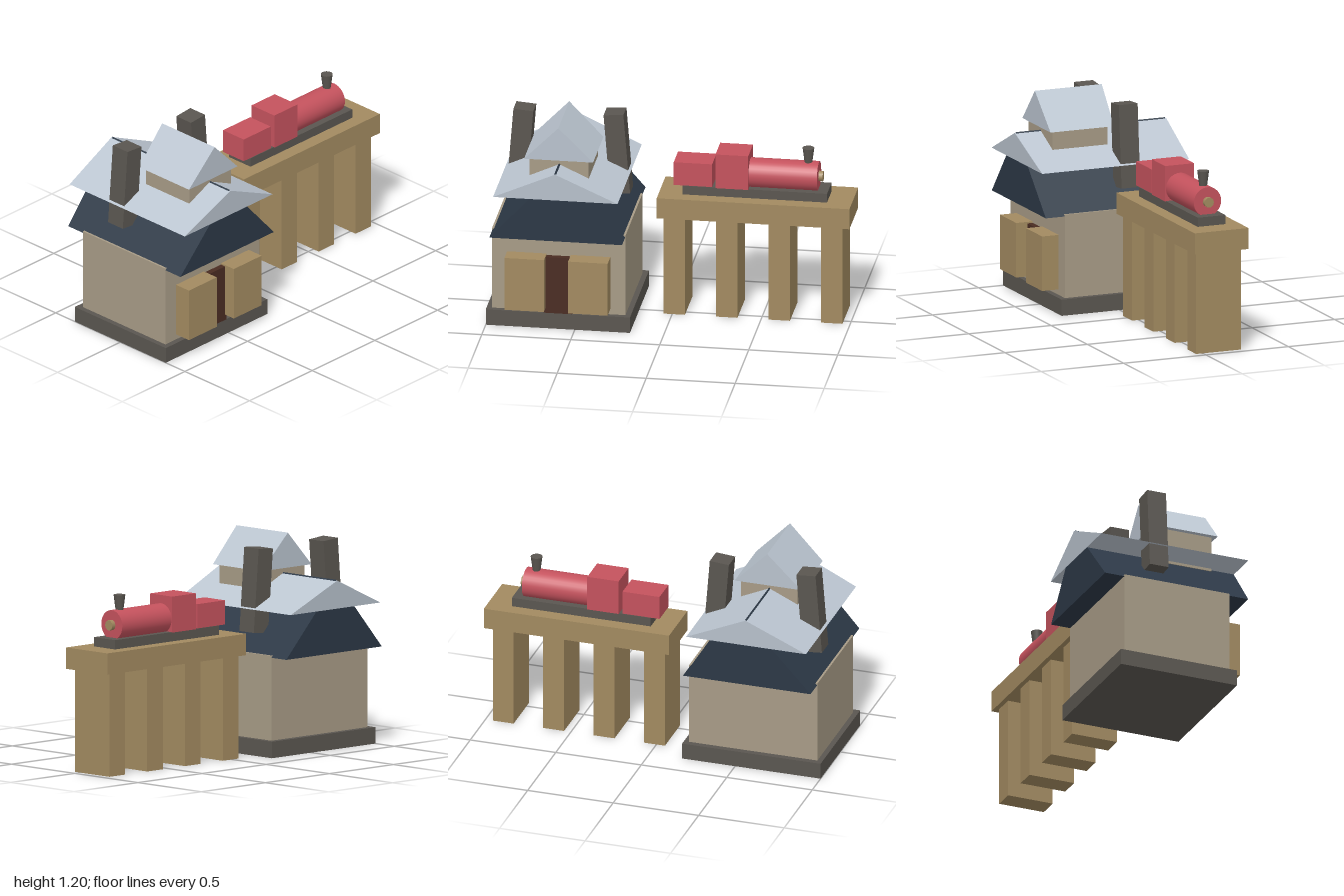
import * as THREE from 'three';

const paint = (name, color) => {
  const m = new THREE.MeshStandardMaterial({ color });
  m.name = name;
  return m;
};

// Gabled prism centred on x = 0, z = 0, whose ends lean outward from eave to ridge
function gable(halfWidth, y0, y1, halfEave, halfRidge) {
  const tri = new THREE.Shape([
    new THREE.Vector2(-halfWidth, y0),
    new THREE.Vector2(halfWidth, y0),
    new THREE.Vector2(0, y1),
  ]);
  const geo = new THREE.ExtrudeGeometry(tri, { depth: 1, bevelEnabled: false });
  const p = geo.attributes.position;
  for (let i = 0; i < p.count; i++) {
    const t = (p.getY(i) - y0) / (y1 - y0);
    const half = THREE.MathUtils.lerp(halfEave, halfRidge, t);
    p.setZ(i, p.getZ(i) > 0.5 ? half : -half);
  }
  geo.computeVertexNormals();
  return geo;
}

export function createModel() {
  const stone = paint('stone grey', 0x5a5650);
  const plaster = paint('plaster', 0xa79b86);
  const navy = paint('navy slate', 0x2d3947);
  const pale = paint('pale slate', 0xbcc6d1);
  const wood = paint('wood', 0xa28a60);
  const brown = paint('dark brown', 0x4a2c22);
  const red = paint('red', 0xc4525d);

  const model = new THREE.Group();
  const group = (name) => {
    const g = new THREE.Group();
    g.name = name;
    model.add(g);
    return g;
  };
  const add = (parent, name, geo, mat, x, y, z) => {
    const m = new THREE.Mesh(geo, mat);
    m.name = name;
    m.position.set(x, y, z);
    parent.add(m);
    return m;
  };
  // Box given by its limits on each axis
  const box = (parent, name, mat, [x0, x1], [y0, y1], [z0, z1]) =>
    add(parent, name, new THREE.BoxGeometry(x1 - x0, y1 - y0, z1 - z0), mat,
      (x0 + x1) / 2, (y0 + y1) / 2, (z0 + z1) / 2);

  // House, modelled around its own centre line
  const house = group('house');
  house.position.x = -0.595;
  box(house, 'plinth', stone, [-0.405, 0.405], [0, 0.092], [-0.352, 0.352]);
  box(house, 'walls', plaster, [-0.375, 0.375], [0.09, 0.568], [-0.318, 0.32]);
  add(house, 'lowerRoof', gable(0.373, 0.557, 0.971, 0.434, 0.452), navy, 0, 0, 0);
  add(house, 'upperRoof', gable(0.35, 0.807, 0.967, 0.446, 0.459), pale, 0, 0, 0);
  box(house, 'turret', plaster, [-0.166, 0.166], [0.792, 1.0], [-0.032, 0.302]);
  add(house, 'turretRoof', gable(0.194, 0.998, 1.196, 0.193, 0.203), pale, 0, 0, 0.134);

  // Doorway with an open door leaf on each side
  box(house, 'doorway', brown, [-0.08, 0.08], [0.09, 0.426], [0.28, 0.352]);
  for (const side of [-1, 1]) {
    add(house, 'doorLeaf', new THREE.BoxGeometry(0.222, 0.311, 0.1), wood,
      side * 0.179, 0.279, 0.37);
    // Chimneys lean toward the ridge
    const chimney = add(house, 'chimney', new THREE.BoxGeometry(0.112, 0.47, 0.114), stone,
      side * 0.272, 0.906, -0.094);
    chimney.rotation.z = side * 0.08;
  }

  // Viaduct
  const viaduct = group('viaduct');
  box(viaduct, 'deck', wood, [-0.083, 1.0], [0.58, 0.7], [-0.258, 0.068]);
  for (let i = 0; i < 4; i++) {
    const x = 0.011 + i * 0.295;
    box(viaduct, 'pier', wood, [x - 0.061, x + 0.061], [0, 0.585], [-0.23, 0.041]);
  }

  // Train
  const train = group('train');
  const zc = -0.095;
  box(train, 'chassis', stone, [0.05, 0.862], [0.7, 0.752], [zc - 0.084, zc + 0.084]);
  box(train, 'tender', red, [0, 0.216], [0.752, 0.888], [zc - 0.08, zc + 0.08]);
  box(train, 'cab', red, [0.236, 0.42], [0.75, 0.952], [zc - 0.088, zc + 0.088]);
  const boiler = add(train, 'boiler', new THREE.CylinderGeometry(0.083, 0.083, 0.405, 32),
    red, 0.602, 0.823, zc);
  const nose = add(train, 'headlamp', new THREE.CylinderGeometry(0.029, 0.029, 0.04, 10),
    wood, 0.809, 0.823, zc);
  boiler.rotation.z = nose.rotation.z = -Math.PI / 2;
  add(train, 'funnel', new THREE.CylinderGeometry(0.033, 0.02, 0.1, 16), stone, 0.745, 0.938, zc);

  return model;
}
